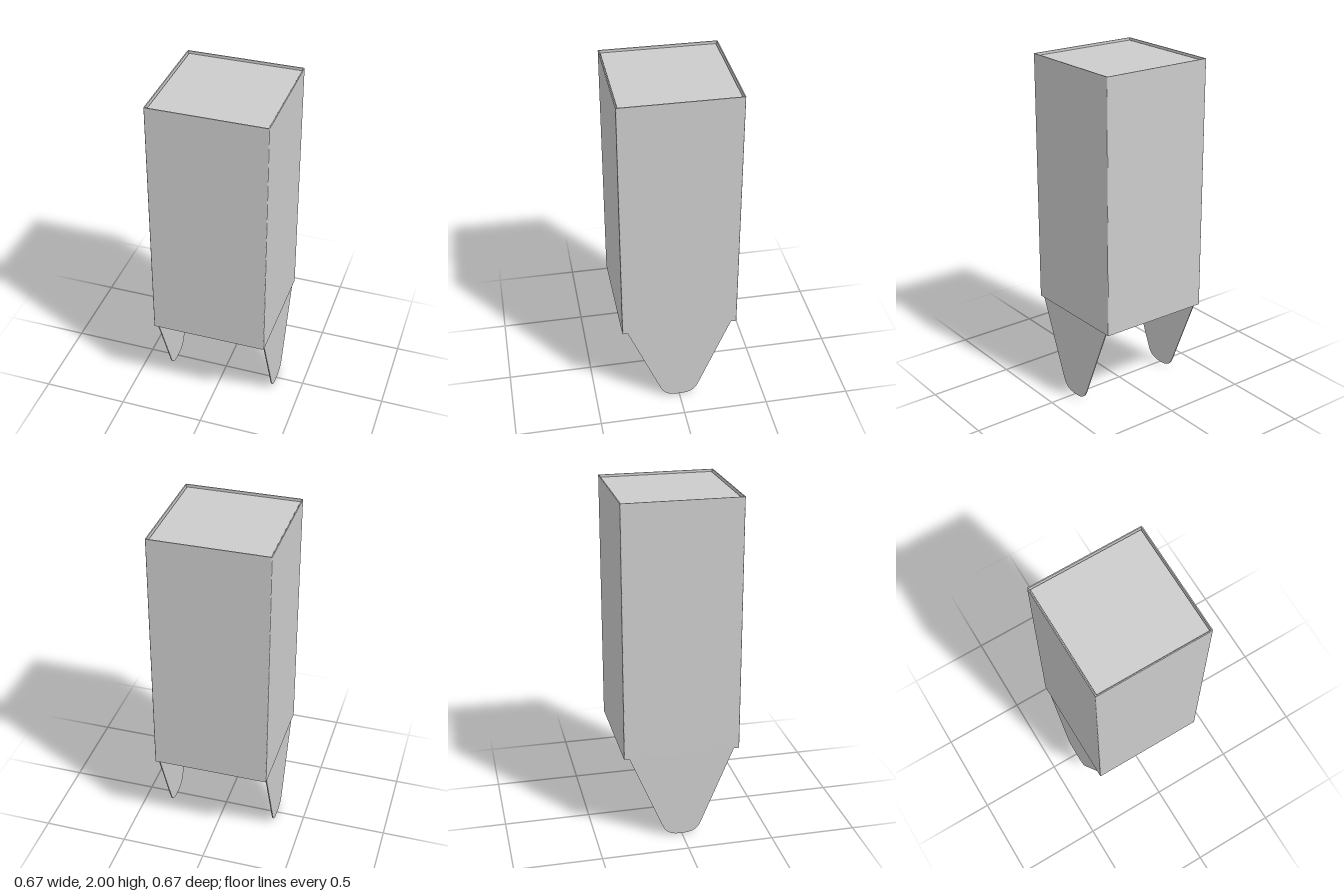
import * as THREE from 'three';

const material = new THREE.MeshStandardMaterial({ color: 0xcccccc });

// Square outline with softly rounded corners
function roundedSquare(path, half, r) {
  path.moveTo(half, -half + r);
  for (let i = 0; i < 4; i++) {
    const a = (i * Math.PI) / 2;
    const sx = i === 0 || i === 3 ? 1 : -1;
    const sy = i < 2 ? 1 : -1;
    path.absarc(sx * (half - r), sy * (half - r), r, a, a + Math.PI / 2, false);
  }
  path.closePath();
  return path;
}

function addMesh(group, geometry, name) {
  const mesh = new THREE.Mesh(geometry, material);
  mesh.name = name;
  group.add(mesh);
  return mesh;
}

export function createModel() {
  const group = new THREE.Group();
  group.name = 'squareColumn';
  const top = 2, sleeveBottom = 0.525;

  // Thin-walled square sleeve, open at both ends
  const sleeve = roundedSquare(new THREE.Shape(), 0.337, 0.005);
  sleeve.holes.push(roundedSquare(new THREE.Path(), 0.331, 0.001));
  const sleeveGeometry = new THREE.ExtrudeGeometry(sleeve, {
    depth: top - sleeveBottom, bevelEnabled: false, curveSegments: 3,
  });
  sleeveGeometry.rotateX(-Math.PI / 2);
  addMesh(group, sleeveGeometry, 'outerSleeve').position.y = sleeveBottom;

  // Loose top panel, sunk a little below the rim
  const panelThickness = 0.006;
  addMesh(group, new THREE.BoxGeometry(0.65, panelThickness, 0.65), 'topPanel')
    .position.y = top - 0.013 - panelThickness / 2;

  // Tapered leg plates, fixed inside the two side walls
  const leg = new THREE.Shape();
  leg.moveTo(-0.314, 0.755);
  leg.lineTo(-0.314, 0.54);
  leg.lineTo(-0.117, 0.07);
  leg.bezierCurveTo(-0.095, 0.018, -0.07, 0, 0, 0);
  leg.bezierCurveTo(0.07, 0, 0.095, 0.018, 0.117, 0.07);
  leg.lineTo(0.314, 0.54);
  leg.lineTo(0.314, 0.755);
  leg.closePath();
  const thickness = 0.006;
  const legGeometry = new THREE.ExtrudeGeometry(leg, {
    depth: thickness, bevelEnabled: false, curveSegments: 12,
  });
  legGeometry.translate(0, 0, -thickness / 2);
  legGeometry.rotateY(Math.PI / 2);
  for (const side of [1, -1]) {
    addMesh(group, legGeometry, side > 0 ? 'leftLeg' : 'rightLeg').position.x = side * 0.3275;
  }

  return group;
}
